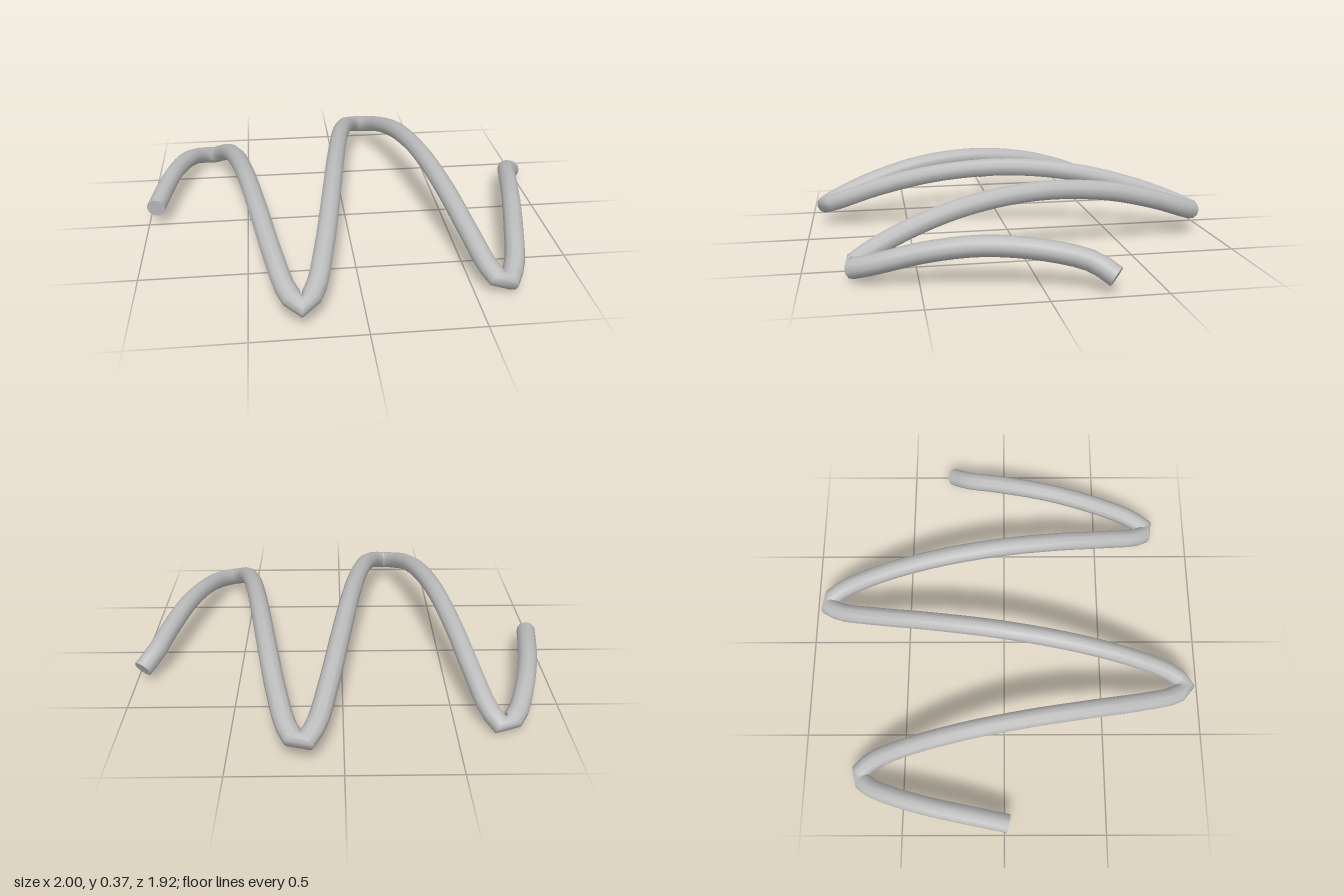
import * as THREE from 'three';

const RADIUS = 0.046;
const SIDES = 10;

export function createModel() {
  const group = new THREE.Group();
  group.name = 'wavyRod';
  const grey = new THREE.MeshStandardMaterial({ color: 0xbcbcbc });
  grey.name = 'grey';

  // Turning points of the wave: x, y, z
  const turns = [
    [-0.705, 0.056, -0.72],
    [-0.272, 0.122, 0.922],
    [0.18, 0.128, -0.93],
    [0.628, 0.076, 0.788],
  ];
  const crests = [0.308, 0.338, 0.318];
  const points = [];
  const add = (x, y, z) => points.push(new THREE.Vector3(x, y, z));

  // Short lead-in arch
  add(-0.955, 0.122, 0.02);
  add(-0.92, 0.143, -0.16);
  add(-0.88, 0.148, -0.35);
  add(-0.825, 0.125, -0.54);
  add(-0.765, 0.08, -0.675);

  // Full arches between turning points
  const steps = 8;
  crests.forEach((crest, i) => {
    const [a, b] = [turns[i], turns[i + 1]];
    for (let k = 0; k < steps; k++) {
      const t = k / steps;
      const swing = (1 - Math.cos(Math.PI * t)) / 2;
      const base = THREE.MathUtils.lerp(a[1], b[1], t);
      const lift = (crest - (a[1] + b[1]) / 2) * Math.sin(Math.PI * t) ** 2;
      add(THREE.MathUtils.lerp(a[0], b[0], t), base + lift, THREE.MathUtils.lerp(a[2], b[2], swing));
    }
  });

  // Last turn and run-out arch
  add(...turns[3]);
  add(0.69, 0.107, 0.69);
  add(0.745, 0.165, 0.48);
  add(0.80, 0.198, 0.24);
  add(0.86, 0.182, -0.02);
  add(0.91, 0.14, -0.2);
  add(0.964, 0.09, -0.28);

  const path = new THREE.CatmullRomCurve3(points);
  const rod = new THREE.Mesh(new THREE.TubeGeometry(path, 120, RADIUS, SIDES), grey);
  rod.name = 'rod';
  group.add(rod);

  // Flat end caps
  for (const [name, t, sign] of [['startCap', 0, -1], ['endCap', 1, 1]]) {
    const cap = new THREE.Mesh(new THREE.CircleGeometry(RADIUS, SIDES * 2), grey);
    cap.name = name;
    const dir = path.getTangentAt(t).multiplyScalar(sign);
    cap.position.copy(path.getPointAt(t));
    cap.quaternion.setFromUnitVectors(new THREE.Vector3(0, 0, 1), dir);
    group.add(cap);
  }
  return group;
}
